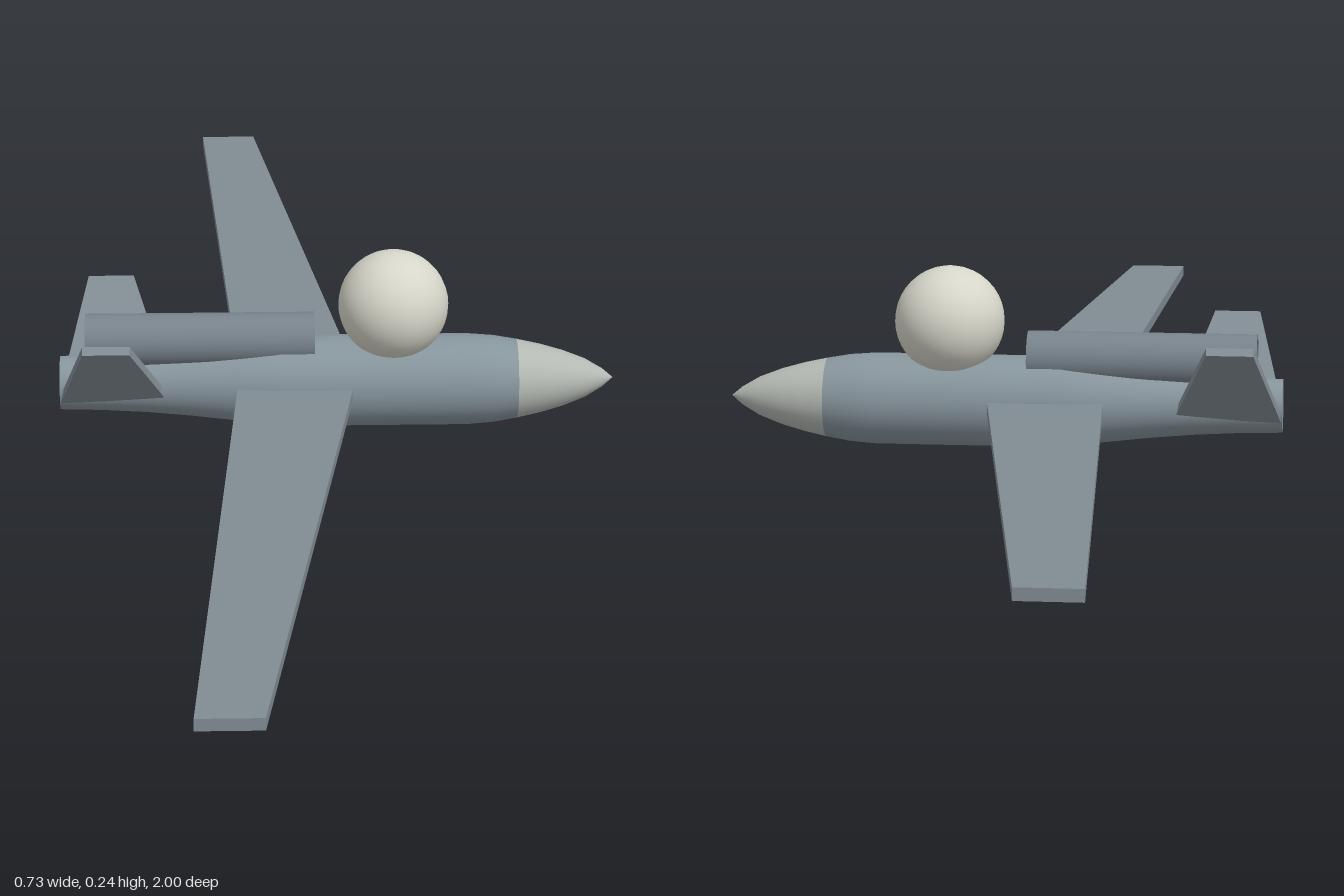
import * as THREE from 'three';

const AXIS_Y = 0.061;
const paint = (color, side = THREE.FrontSide) => new THREE.MeshStandardMaterial({ color, side });

function add(parent, name, geometry, material) {
  const mesh = new THREE.Mesh(geometry, material);
  mesh.name = name;
  parent.add(mesh);
  return mesh;
}

// Body of revolution along x from [x, radius] pairs
function revolve(profile) {
  const points = profile.map(([x, r]) => new THREE.Vector2(r, x));
  return new THREE.LatheGeometry(points, 32).rotateZ(-Math.PI / 2);
}

// Flat plate of even thickness from an outline, centred on its own plane
function plate(outline, thickness) {
  const shape = new THREE.Shape(outline.map(([x, y]) => new THREE.Vector2(x, y)));
  return new THREE.ExtrudeGeometry(shape, { depth: thickness, bevelEnabled: false })
    .translate(0, 0, -thickness / 2);
}

export function createModel() {
  const group = new THREE.Group();
  const hull = paint(0x87959d);
  const wingPaint = paint(0x818c93);
  const pipe = paint(0x78838c, THREE.DoubleSide);
  const nosePaint = paint(0xb4b9b3);
  const domePaint = paint(0xd6d6ca);

  // Fuselage with tapering tail, and a flat cap at the rear
  const fuselage = add(group, 'fuselage', revolve([
    [-0.365, 0.035], [-0.31, 0.0365], [-0.25, 0.040], [-0.19, 0.0455],
    [-0.13, 0.0525], [-0.075, 0.06], [0.17, 0.06], [0.205, 0.0572], [0.235, 0.052],
  ]), hull);
  fuselage.position.y = AXIS_Y;
  const cap = add(group, 'tailCap', new THREE.CircleGeometry(0.035, 32).rotateY(-Math.PI / 2), hull);
  cap.position.set(-0.365, AXIS_Y, 0);

  // Pointed nose cone
  const nose = add(group, 'noseCone', revolve([
    [0.235, 0.052], [0.265, 0.0455], [0.295, 0.037], [0.325, 0.0255], [0.348, 0.012], [0.362, 0],
  ]), nosePaint);
  nose.position.y = AXIS_Y;

  // Dome on the back
  const dome = add(group, 'dome', new THREE.SphereGeometry(0.072, 32, 20), domePaint);
  dome.position.set(0.072, 0.167, 0);

  // Open engine pipe
  const engine = add(group, 'enginePipe',
    new THREE.CylinderGeometry(0.035, 0.035, 0.3, 20, 1, true).rotateZ(-Math.PI / 2), pipe);
  engine.position.set(-0.181, 0.12, 0);

  // Tapered wing spanning both sides
  const wing = add(group, 'wing', plate([
    [-0.183, -1], [-0.105, -1], [0.025, 0], [-0.105, 1], [-0.183, 1], [-0.13, 0],
  ], 0.015).rotateX(Math.PI / 2), wingPaint);
  wing.position.y = 0.062;

  // V-tail fins
  for (const side of [1, -1]) {
    const fin = add(group, side > 0 ? 'tailFinFront' : 'tailFinBack', plate([
      [-0.365, 0], [-0.222, 0], [-0.27, 0.159], [-0.33, 0.159],
    ], 0.012), wingPaint);
    fin.rotation.x = side * Math.PI / 4;
    fin.position.set(0, 0.045, side * 0.023);
  }
  return group;
}
